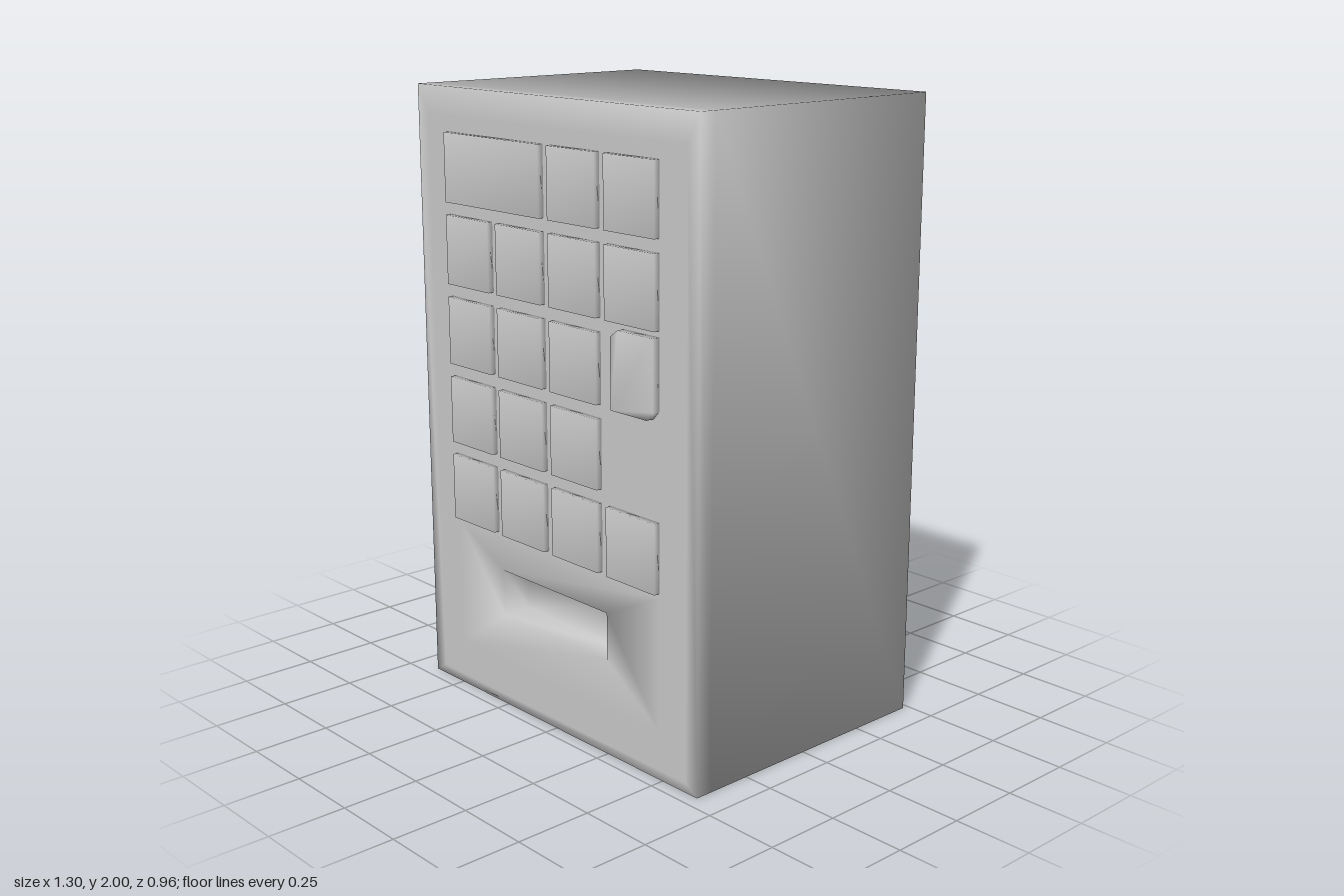
import * as THREE from 'three';

const material = new THREE.MeshStandardMaterial({ color: 0xcccccc });

// Corners of a rectangle, counter-clockwise seen from the front.
const rect = (x0, x1, y0, y1) => [[x0, y0], [x1, y0], [x1, y1], [x0, y1]];

// Joins outlines from back to front into a closed, smooth-shaded solid.
// Each section is { z, points }; all sections have the same point count.
function loft(name, sections) {
  const n = sections[0].points.length;
  const positions = sections.flatMap(({ z, points }) => points.flatMap(([x, y]) => [x, y, z]));
  const index = [];
  for (let s = 0; s < sections.length - 1; s++) {
    for (let j = 0; j < n; j++) {
      const a = s * n + j;
      const b = s * n + (j + 1) % n;
      index.push(a, b, b + n, a, b + n, a + n);
    }
  }
  // End caps
  const last = (sections.length - 1) * n;
  for (let j = 1; j < n - 1; j++) {
    index.push(0, j + 1, j, last, last + j, last + j + 1);
  }
  const geometry = new THREE.BufferGeometry();
  geometry.setAttribute('position', new THREE.Float32BufferAttribute(positions, 3));
  geometry.setIndex(index);
  geometry.computeVertexNormals();
  const mesh = new THREE.Mesh(geometry, material);
  mesh.name = name;
  return mesh;
}

export function createModel() {
  const group = new THREE.Group();
  group.name = 'vendingMachine';
  const front = 0.455;

  // Cabinet: box, flat front border, then the pick-up slot sunk into the front
  const outer = rect(-0.65, 0.65, 0, 2);
  const slot = rect(-0.26, 0.25, 0.31, 0.465);
  group.add(loft('cabinet', [
    { z: -0.48, points: outer },
    { z: 0.4, points: outer },
    { z: front, points: outer },
    { z: front, points: rect(-0.6, 0.6, 0.03, 1.91) },
    { z: front, points: rect(-0.49, 0.49, 0.15, 0.58) },
    { z: front, points: slot },
    { z: front - 0.1, points: slot },
  ]));

  // Display panels in a grid; the top-left one is double width
  const panels = new THREE.Group();
  panels.name = 'displayPanels';
  const columns = [[-0.49, -0.277], [-0.237, -0.023], [0.018, 0.233], [0.273, 0.488]];
  const rows = [[1.64, 1.86], [1.378, 1.6], [1.117, 1.336], [0.855, 1.074], [0.594, 0.812]];
  rows.forEach(([y0, y1], r) => {
    columns.forEach(([x0, x1], c) => {
      const covered = r === 0 && c === 1;
      const besideCoinUnit = c === 3 && (r === 2 || r === 3);
      if (covered || besideCoinUnit) return;
      const right = r === 0 && c === 0 ? columns[1][1] : x1;
      const points = rect(x0, right, y0, y1);
      panels.add(loft('displayPanel', [
        { z: front - 0.005, points },
        { z: 0.476, points },
      ]));
    });
  });
  group.add(panels);

  // Coin unit with two clipped corners
  const clipped = [[0.306, 1.117], [0.462, 1.117], [0.488, 1.145],
    [0.488, 1.36], [0.338, 1.36], [0.306, 1.337]];
  group.add(loft('coinUnit', [
    { z: front - 0.005, points: clipped },
    { z: 0.482, points: clipped },
  ]));

  return group;
}
